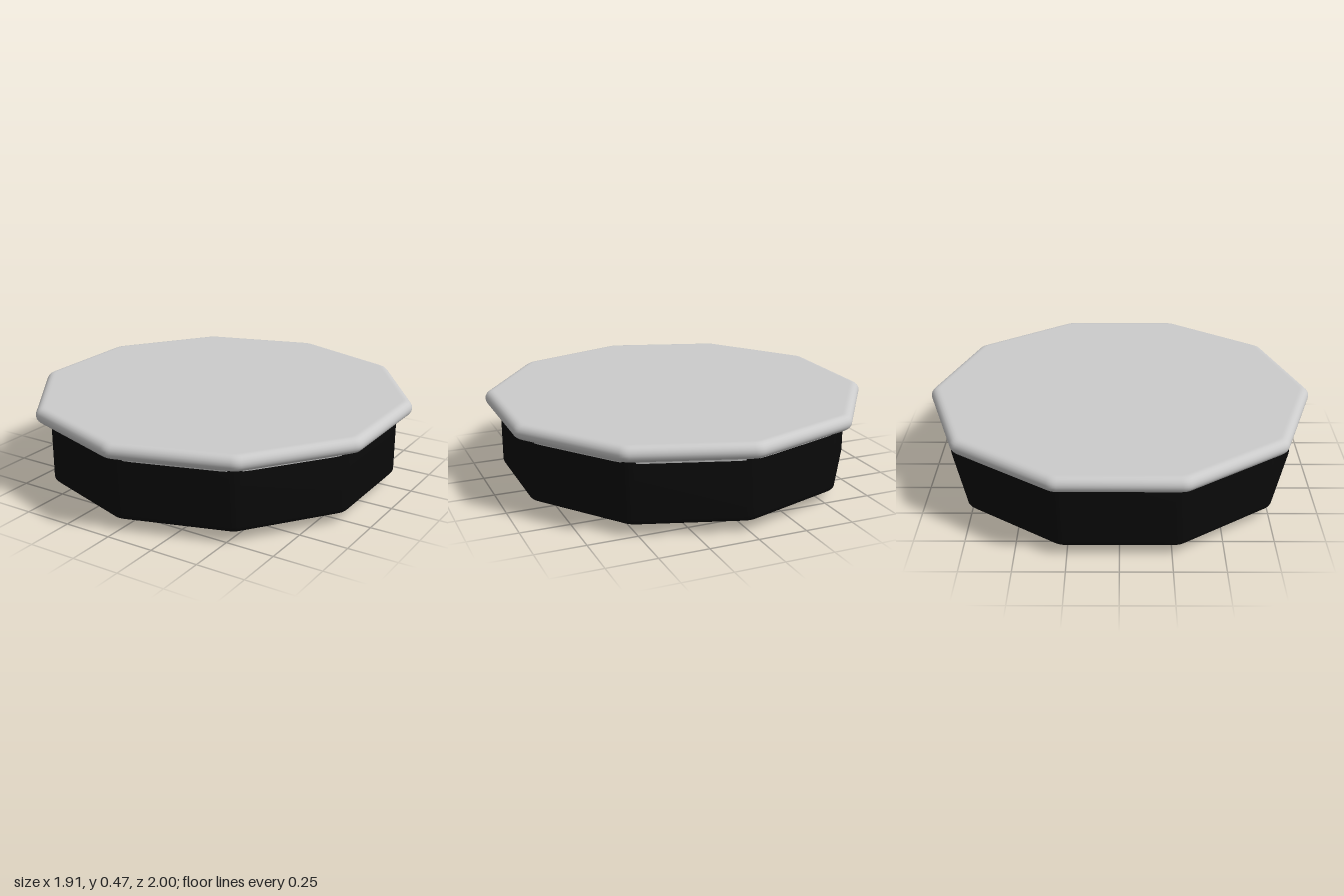
import * as THREE from 'three';
import { toCreasedNormals } from 'three/addons/utils/BufferGeometryUtils.js';

const SIDES = 10, STEPS = 4, HALF = Math.PI / SIDES;

// Outline of a ten-sided shape with rounded corners; a = centre-to-side distance, r = corner radius
function ring(a, y, r) {
  const points = [];
  const rr = Math.min(r, a), centre = (a - rr) / Math.cos(HALF);
  for (let k = 0; k < SIDES; k++) {
    const t = 2 * HALF * k;
    for (let s = 0; s <= STEPS; s++) {
      const u = t - HALF + (2 * HALF * s) / STEPS;
      points.push(centre * Math.sin(t) + rr * Math.sin(u), y, centre * Math.cos(t) + rr * Math.cos(u));
    }
  }
  return points;
}

// Skins a bottom-to-top profile of [a, y] with ten-sided rings
function decagonLoft(profile, r) {
  const n = SIDES * (STEPS + 1), index = [];
  const positions = profile.flatMap(([a, y]) => ring(a, y, r));
  for (let i = 0; i < profile.length - 1; i++) {
    for (let j = 0; j < n; j++) {
      const p = i * n + j, q = i * n + (j + 1) % n;
      if (profile[i][0] > 0) index.push(p, q, q + n);
      if (profile[i + 1][0] > 0) index.push(p, q + n, p + n);
    }
  }
  const geometry = new THREE.BufferGeometry();
  geometry.setAttribute('position', new THREE.Float32BufferAttribute(positions, 3));
  geometry.setIndex(index);
  return toCreasedNormals(geometry, Math.PI / 6);
}

// Quarter or half round in a profile
function arc(cx, cy, r, from, to, steps) {
  return Array.from({ length: steps + 1 }, (_, i) => {
    const t = THREE.MathUtils.degToRad(from + ((to - from) * i) / steps);
    return [cx + r * Math.cos(t), cy + r * Math.sin(t)];
  });
}

export function createModel() {
  const model = new THREE.Group();
  const grey = new THREE.MeshStandardMaterial({ color: 0xcccccc });
  const black = new THREE.MeshStandardMaterial({ color: 0x0a0a0a });
  const add = (name, geometry, material) => {
    const mesh = new THREE.Mesh(geometry, material);
    mesh.name = name;
    model.add(mesh);
  };

  // Lid slab with a fully rounded rim
  add('lid', decagonLoft([
    [0, 0.387], [0.9, 0.387],
    ...arc(0.915, 0.427, 0.04, -90, 90, 10),
    [0.905, 0.467], [0, 0.467],
  ], 0.08), grey);

  // Neck flaring from the body into the underside of the lid
  add('lidNeck', decagonLoft([
    [0, 0.365], [0.886, 0.365],
    ...arc(0.92, 0.365, 0.033, 180, 100, 5),
  ], 0.25), grey);

  // Dark body with softened bottom edge
  add('body', decagonLoft([
    [0, 0.055], [0.84, 0.055],
    ...arc(0.85, 0.088, 0.033, -90, 0, 5),
    [0.883, 0.36], [0.883, 0.39], [0, 0.39],
  ], 0.08), black);

  // Round button under the body
  const button = [[0, 0], [0.09, 0], ...arc(0.102, 0.035, 0.035, -90, 0, 6), [0.137, 0.06]]
    .map(([x, y]) => new THREE.Vector2(x, y));
  add('bottomButton', toCreasedNormals(new THREE.LatheGeometry(button, 40), Math.PI / 6), grey);

  return model;
}
